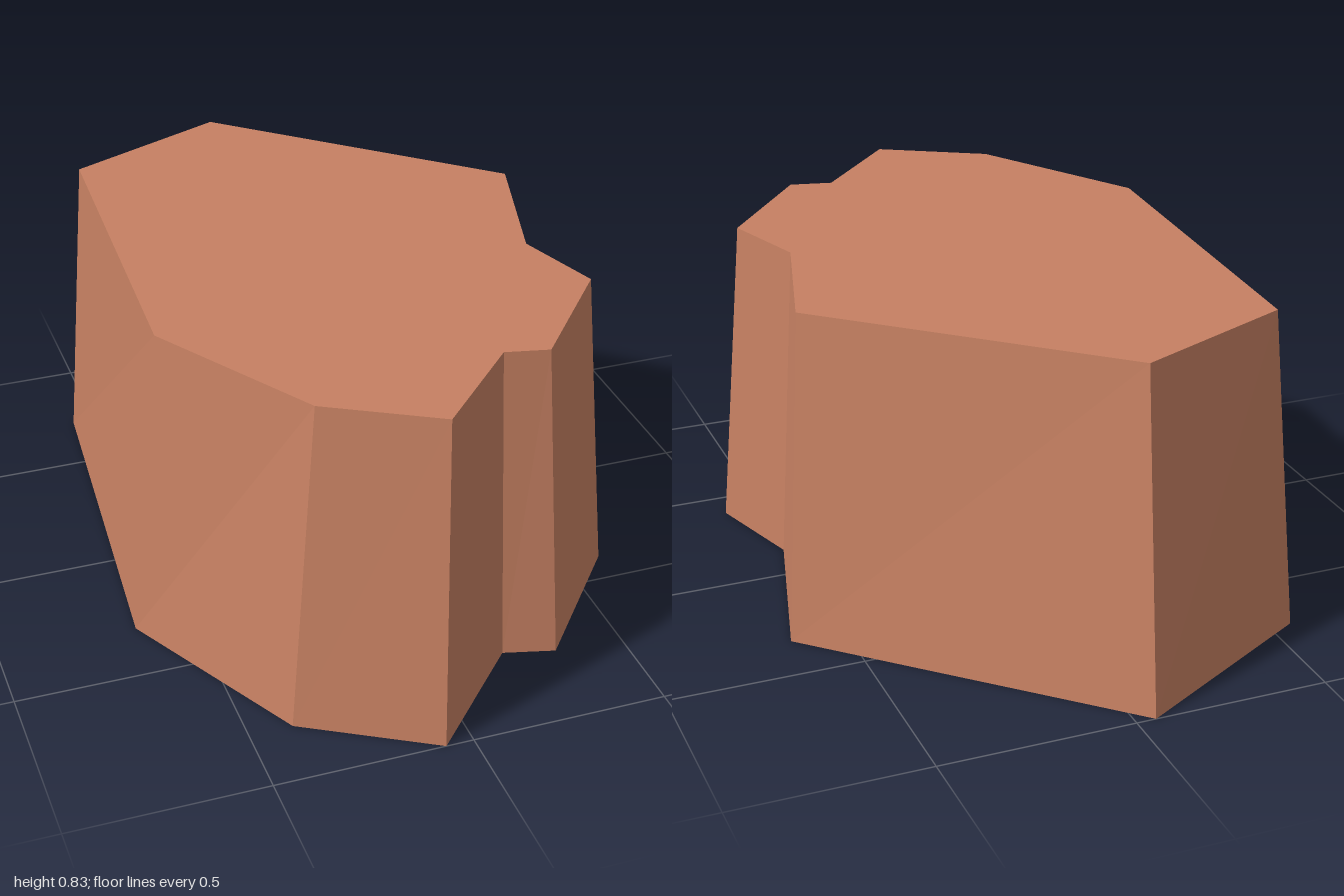
import * as THREE from 'three';

// Outline stations, clockwise from above: [foot x, foot z, rim x, rim z]
const HEIGHT = 0.835;
const OUTLINE = [
  [-0.56, -0.715, -0.51, -0.65],
  [-0.05, -1.0, -0.085, -0.835],
  [0.64, -0.34, 0.57, -0.245],
  [0.515, 0.135, 0.46, 0.155],
  [0.6, 0.405, 0.535, 0.385],
  [0.325, 0.745, 0.3, 0.675],
  [0.195, 0.71, 0.19, 0.65],
  [-0.07, 1.0, -0.035, 0.89],
  [-0.39, 0.81, -0.305, 0.735],
  [-0.645, 0.31, -0.56, 0.305],
];

export function createModel() {
  const group = new THREE.Group();
  group.name = 'mesaRock';
  const clay = new THREE.MeshStandardMaterial({ color: 0xc68062, side: THREE.DoubleSide, flatShading: true });
  clay.name = 'red clay rock';

  // Sloping cliff walls, open underneath
  const points = [];
  OUTLINE.forEach((a, i) => {
    const b = OUTLINE[(i + 1) % OUTLINE.length];
    const footA = [a[0], 0, a[1]], rimA = [a[2], HEIGHT, a[3]];
    const footB = [b[0], 0, b[1]], rimB = [b[2], HEIGHT, b[3]];
    points.push(...rimA, ...rimB, ...footB, ...rimA, ...footB, ...footA);
  });
  const wallGeometry = new THREE.BufferGeometry();
  wallGeometry.setAttribute('position', new THREE.Float32BufferAttribute(points, 3));
  wallGeometry.computeVertexNormals();
  const walls = new THREE.Mesh(wallGeometry, clay);
  walls.name = 'cliffWalls';

  // Flat plateau closing the rim
  const rim = new THREE.Shape(OUTLINE.map(([, , x, z]) => new THREE.Vector2(x, -z)));
  const plateauGeometry = new THREE.ShapeGeometry(rim).rotateX(-Math.PI / 2).translate(0, HEIGHT, 0);
  const plateau = new THREE.Mesh(plateauGeometry, clay);
  plateau.name = 'plateau';

  group.add(walls, plateau);
  return group;
}
